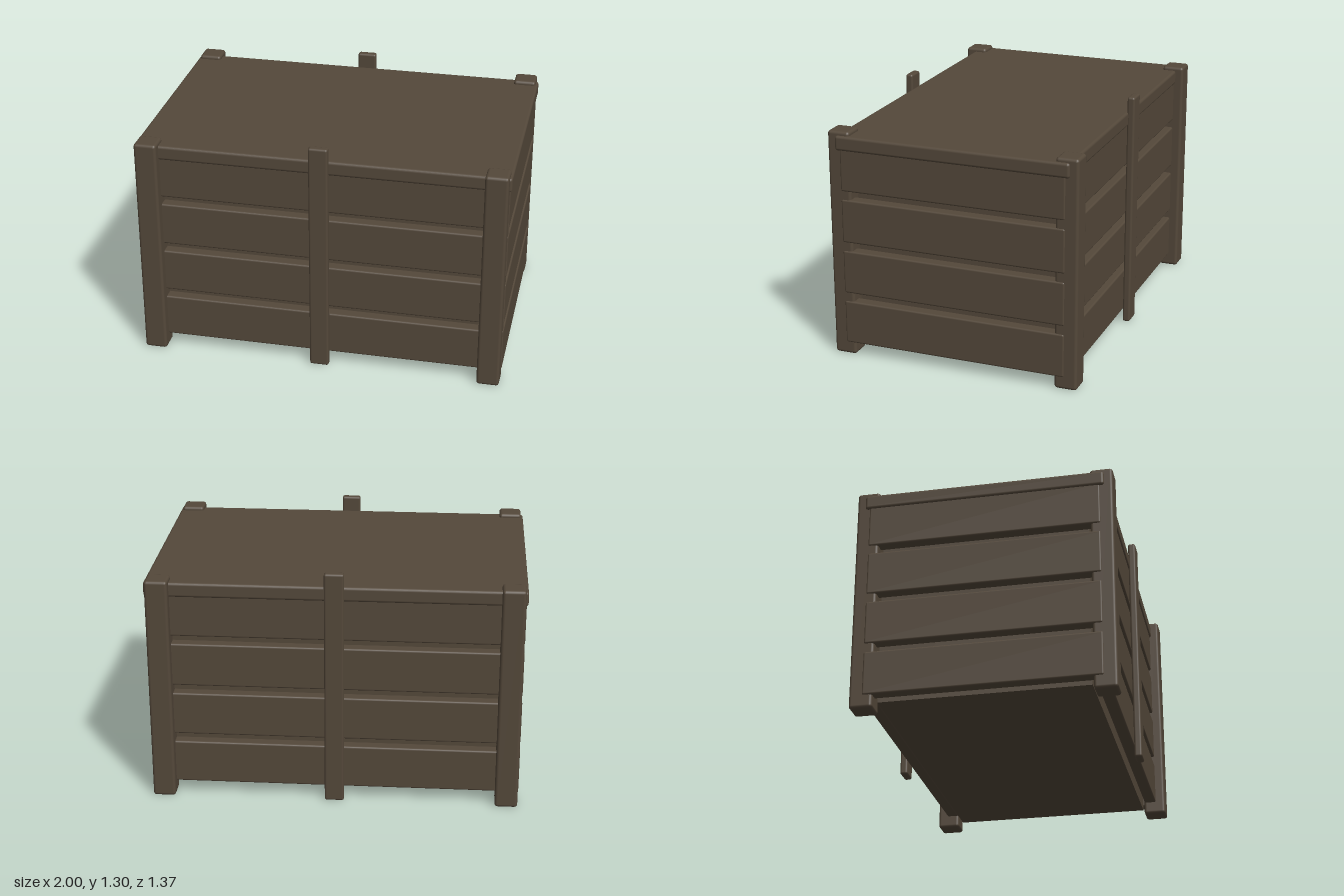
import * as THREE from 'three';
import { RoundedBoxGeometry } from 'three/addons/geometries/RoundedBoxGeometry.js';

export function createModel() {
  const crate = new THREE.Group();
  crate.name = 'crate';
  const wood = new THREE.MeshStandardMaterial({ color: 0x54483a });
  wood.name = 'dark wood';

  // Rounded board given by its extents on each axis
  function board(name, [x0, x1], [y0, y1], [z0, z1], radius) {
    const size = [x1 - x0, y1 - y0, z1 - z0];
    const geometry = radius
      ? new RoundedBoxGeometry(...size, 2, radius)
      : new THREE.BoxGeometry(...size);
    const mesh = new THREE.Mesh(geometry, wood);
    mesh.name = name;
    mesh.position.set((x0 + x1) / 2, (y0 + y1) / 2, (z0 + z1) / 2);
    crate.add(mesh);
  }
  const span = (side, a, b) => (side > 0 ? [a, b] : [-b, -a]);

  // Inner box and lid
  board('innerBox', [-0.93, 0.93], [0.045, 1.16], [-0.55, 0.55], 0);
  board('lid', [-1, 1], [1.142, 1.222], [-0.64, 0.64], 0.015);

  for (const s of [-1, 1]) {
    // Corner posts
    for (const t of [-1, 1]) {
      board('cornerPost', span(s, 0.865, 0.987), [0, 1.243], span(t, 0.563, 0.685), 0.016);
    }
    // Tall middle batten on the front and back
    board('middleBatten', [-0.052, 0.052], [0, 1.305], span(s, 0.632, 0.674), 0.012);

    // Four slats on each wall
    for (const [y0, y1] of [[0.068, 0.306], [0.353, 0.591], [0.638, 0.876], [0.921, 1.159]]) {
      board('longSlat', [-0.93, 0.93], [y0, y1], span(s, 0.565, 0.632), 0.01);
      board('endSlat', span(s, 0.925, 0.992), [y0, y1], [-0.617, 0.617], 0.01);
    }
  }
  return crate;
}
